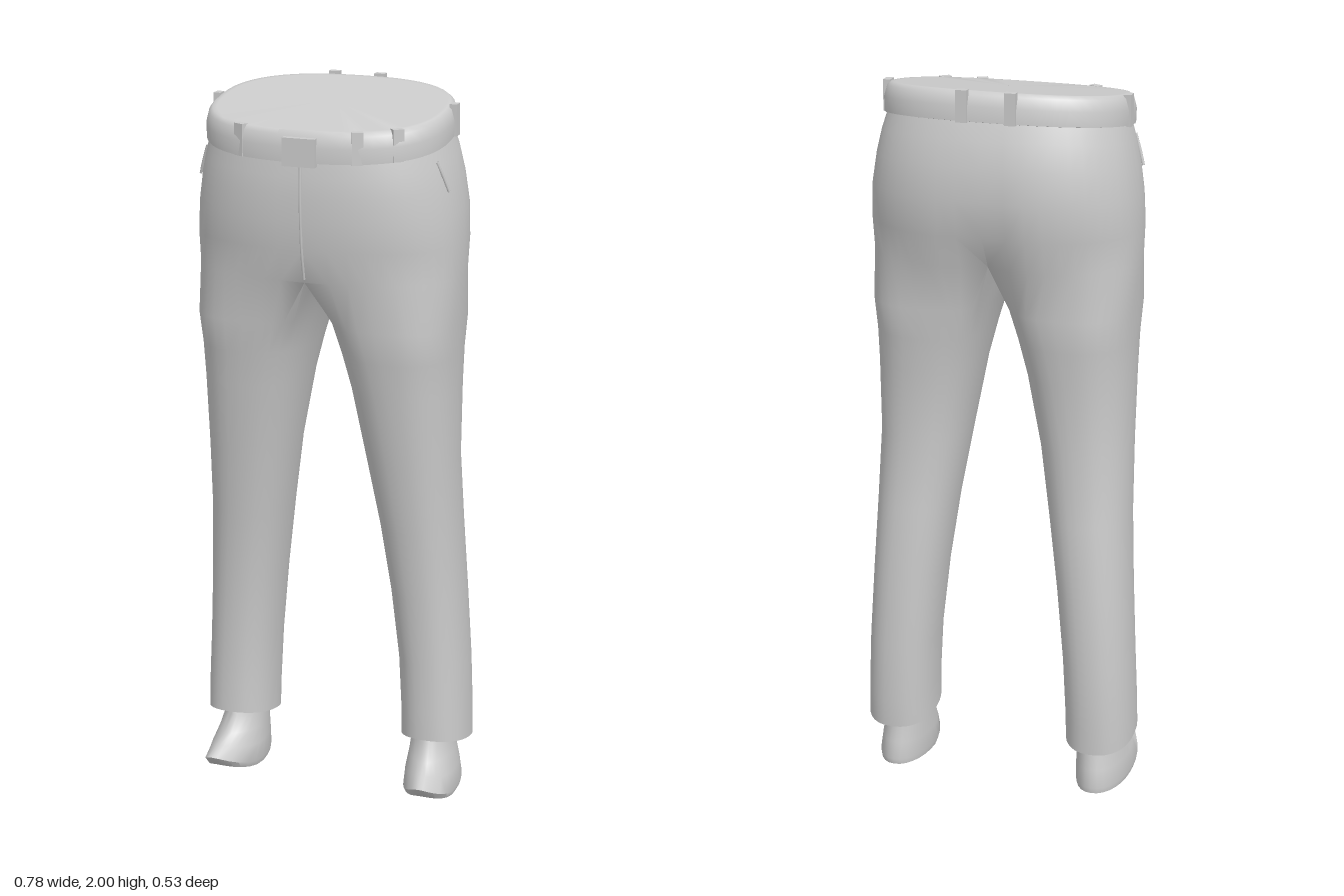
import * as THREE from 'three';
import { mergeGeometries, mergeVertices, toCreasedNormals } from 'three/addons/utils/BufferGeometryUtils.js';

const M = 24, K = 10; // steps round the outside and the inside of a leg
const material = new THREE.MeshStandardMaterial({ color: 0xcccccc, side: THREE.DoubleSide });

const power = (v, n) => Math.sign(v) * Math.abs(v) ** (2 / n);

// Rounded-square cross-section; t runs front -> outside -> back. y follows the slope in z.
function sectionPoint(t, y, xIn, xOut, zFront, zBack, slope, n) {
  const x = (xIn + xOut) / 2 + (xOut - xIn) / 2 * power(Math.sin(t), n);
  const z = (zFront + zBack) / 2 + (zFront - zBack) / 2 * power(Math.cos(t), n);
  return new THREE.Vector3(x, y + slope * z, z);
}

function ring(count, ...section) {
  return Array.from({ length: count }, (_, i) => sectionPoint(i / count * Math.PI * 2, ...section));
}

// Skin rows of points, listed from top to bottom
function loft(rows, closed = true) {
  const n = rows[0].length, index = [];
  for (let r = 0; r < rows.length - 1; r++) {
    for (let j = 0; j < (closed ? n : n - 1); j++) {
      const k = (j + 1) % n, a = r * n, b = a + n;
      index.push(a + j, b + j, b + k, a + j, b + k, a + k);
    }
  }
  const geo = new THREE.BufferGeometry();
  geo.setAttribute('position', new THREE.Float32BufferAttribute(rows.flat().flatMap(p => p.toArray()), 3));
  geo.setIndex(index);
  return geo;
}

function mirrored(geo) {
  const copy = geo.clone().scale(-1, 1, 1);
  copy.setIndex(Array.from(geo.index.array).reverse());
  return copy;
}

function addMesh(group, name, geo) {
  const mesh = new THREE.Mesh(geo, material);
  mesh.name = name;
  group.add(mesh);
  return mesh;
}

// Half of the hips: y, half width, front z, back z, slope, seam dip at the back
const hips = [
  [1.89, 0.325, 0.25, -0.23, -0.15, 0],
  [1.84, 0.34, 0.255, -0.247, -0.13, 0],
  [1.78, 0.353, 0.257, -0.262, -0.09, 0.003],
  [1.7, 0.365, 0.254, -0.268, -0.05, 0.008],
  [1.61, 0.37, 0.246, -0.255, 0, 0.02],
  [1.52, 0.368, 0.225, -0.228, 0, 0.045],
];
function hipRow([y, a, front, back, slope, dip]) {
  return Array.from({ length: M + 1 }, (_, i) => {
    const t = i / M * Math.PI;
    const p = sectionPoint(t, y, -a, a, front, back, slope, 2.4);
    if (i === 0 || i === M) p.x = 0;
    if (p.z < 0) p.z += dip * Math.exp(-((p.x / 0.07) ** 2));
    return p;
  });
}

// Leg: y, inner x, outer x, front z, back z, slope, squareness
const leg = [
  [1.39, 0.02, 0.363, 0.2, -0.2, 0, 2.7],
  [1.3, 0.045, 0.358, 0.183, -0.187, 0, 2.5],
  [1.2, 0.07, 0.356, 0.166, -0.175, 0, 2.4],
  [1.0, 0.107, 0.355, 0.135, -0.157, 0, 2.3],
  [0.8, 0.14, 0.36, 0.102, -0.174, 0, 2.3],
  [0.6, 0.168, 0.37, 0.08, -0.185, 0.05, 2.3],
  [0.4, 0.189, 0.381, 0.066, -0.19, 0.1, 2.3],
  [0.25, 0.197, 0.388, 0.065, -0.187, 0.2, 2.3],
  [0.167, 0.198, 0.39, 0.065, -0.182, 0.2, 2.3],
  // turned-in hem, closing round the ankle
  [0.168, 0.206, 0.382, 0.057, -0.174, 0.2, 2.3],
  [0.23, 0.23, 0.34, 0.035, -0.14, 0.2, 2.3],
];
function legRow(section) {
  const s = 0.8; // how far the outside wraps past the front and back
  const outer = Array.from({ length: M + 1 }, (_, i) => -s + i / M * (Math.PI + 2 * s));
  const inner = Array.from({ length: K - 1 }, (_, i) => Math.PI + s + (i + 1) / K * (Math.PI - 2 * s));
  return [...outer, ...inner].map(t => sectionPoint(t, ...section));
}

function trousersGeometry() {
  const hipRows = hips.map(hipRow);
  const last = hipRows[hipRows.length - 1];
  // crotch: a saddle curve from the back seam to the front seam
  const crotch = Array.from({ length: K - 1 }, (_, i) => {
    const u = (i + 1) / K;
    return new THREE.Vector3(0, 1.52 - 0.08 * Math.sin(Math.PI * u), THREE.MathUtils.lerp(last[M].z, last[0].z, u));
  });
  const half = mergeGeometries([
    loft(hipRows, false),
    loft([[...last, ...crotch], ...leg.map(legRow)]),
  ]);
  return toCreasedNormals(mergeVertices(mergeGeometries([half, mirrored(half)]), 1e-4), 1.1);
}

function beltGeometry() {
  // half width, front z, back z, y
  const rows = [
    [0.001, 0.001, -0.001, 1.967],
    [0.305, 0.235, -0.203, 1.965],
    [0.316, 0.243, -0.213, 1.965],
    [0.326, 0.251, -0.224, 1.955],
    [0.334, 0.258, -0.235, 1.925],
    [0.333, 0.257, -0.237, 1.885],
    [0.315, 0.24, -0.222, 1.883],
  ];
  return toCreasedNormals(loft(rows.map(([a, f, b, y]) => ring(48, y, -a, a, f, b, -0.15, 2.5))), 0.8);
}

// Foot: y, inner x, outer x, front z, back z, toe lift
function footGeometry() {
  const rows = [
    [0.23, 0.232, 0.335, 0.03, -0.135, 0],
    [0.16, 0.228, 0.34, 0.042, -0.143, 0],
    [0.115, 0.225, 0.35, 0.075, -0.15, 0],
    [0.07, 0.22, 0.362, 0.12, -0.158, 0.025],
    [0.02, 0.218, 0.37, 0.165, -0.17, 0.055],
    [0.004, 0.222, 0.366, 0.14, -0.167, 0.04],
    [0.0, 0.293, 0.295, -0.039, -0.041, 0],
  ].map(([y, xi, xo, f, b, lift]) => ring(28, y, xi, xo, f, b, 0, 2.1).map(p => {
    const u = Math.max(0, p.z) / f;
    p.y += lift * u * u;
    p.x += (0.295 - p.x) * 0.35 * u * u + 0.1 * Math.max(0, p.z); // taper and turn out the toe
    return p;
  }));
  return toCreasedNormals(loft(rows), 0.8);
}

export function createModel() {
  const group = new THREE.Group();
  group.name = 'trousers';
  addMesh(group, 'trouserLegsAndHips', trousersGeometry());
  addMesh(group, 'belt', beltGeometry());

  const foot = footGeometry();
  addMesh(group, 'leftFoot', foot);
  const rightFoot = foot.clone().scale(-1, 1, 1);
  for (const name of ['position', 'normal']) { // restore winding after mirroring
    const a = rightFoot.attributes[name];
    for (let i = 0; i < a.count; i += 3) {
      const p = new THREE.Vector3().fromBufferAttribute(a, i), q = new THREE.Vector3().fromBufferAttribute(a, i + 2);
      a.setXYZ(i, q.x, q.y, q.z);
      a.setXYZ(i + 2, p.x, p.y, p.z);
    }
  }
  addMesh(group, 'rightFoot', rightFoot);

  // belt loops: x, z, facing angle
  const loops = [
    [-0.175, 0.225, -0.45], [0.15, 0.234, 0.4], [0.243, 0.19, 0.7],
    [0.328, -0.03, Math.PI / 2], [-0.328, 0.0, -Math.PI / 2],
    [0.053, -0.232, Math.PI], [-0.078, -0.231, Math.PI],
  ];
  for (const [x, z, angle] of loops) {
    const loop = addMesh(group, 'beltLoop', new THREE.BoxGeometry(0.03, 0.085, 0.02));
    loop.position.set(x, 1.925 - 0.15 * z, z);
    loop.rotation.y = angle;
  }

  // buckle
  const buckle = addMesh(group, 'buckle', new THREE.BoxGeometry(0.09, 0.075, 0.018));
  buckle.position.set(0, 1.875, 0.26);

  // fly seam and slanted pocket edges
  const seam = (name, pts) => addMesh(group, name, new THREE.TubeGeometry(
    new THREE.CatmullRomCurve3(pts.map(p => new THREE.Vector3(...p))), 12, 0.004, 6));
  seam('flySeam', [[0, 1.85, 0.254], [0, 1.76, 0.256], [0, 1.69, 0.253], [0, 1.6, 0.244], [0, 1.53, 0.228]]);
  for (const s of [-1, 1]) {
    seam('pocketEdge', [[s * 0.322, 1.84, 0.1], [s * 0.337, 1.8, 0.09], [s * 0.35, 1.76, 0.08]]);
  }
  return group;
}
